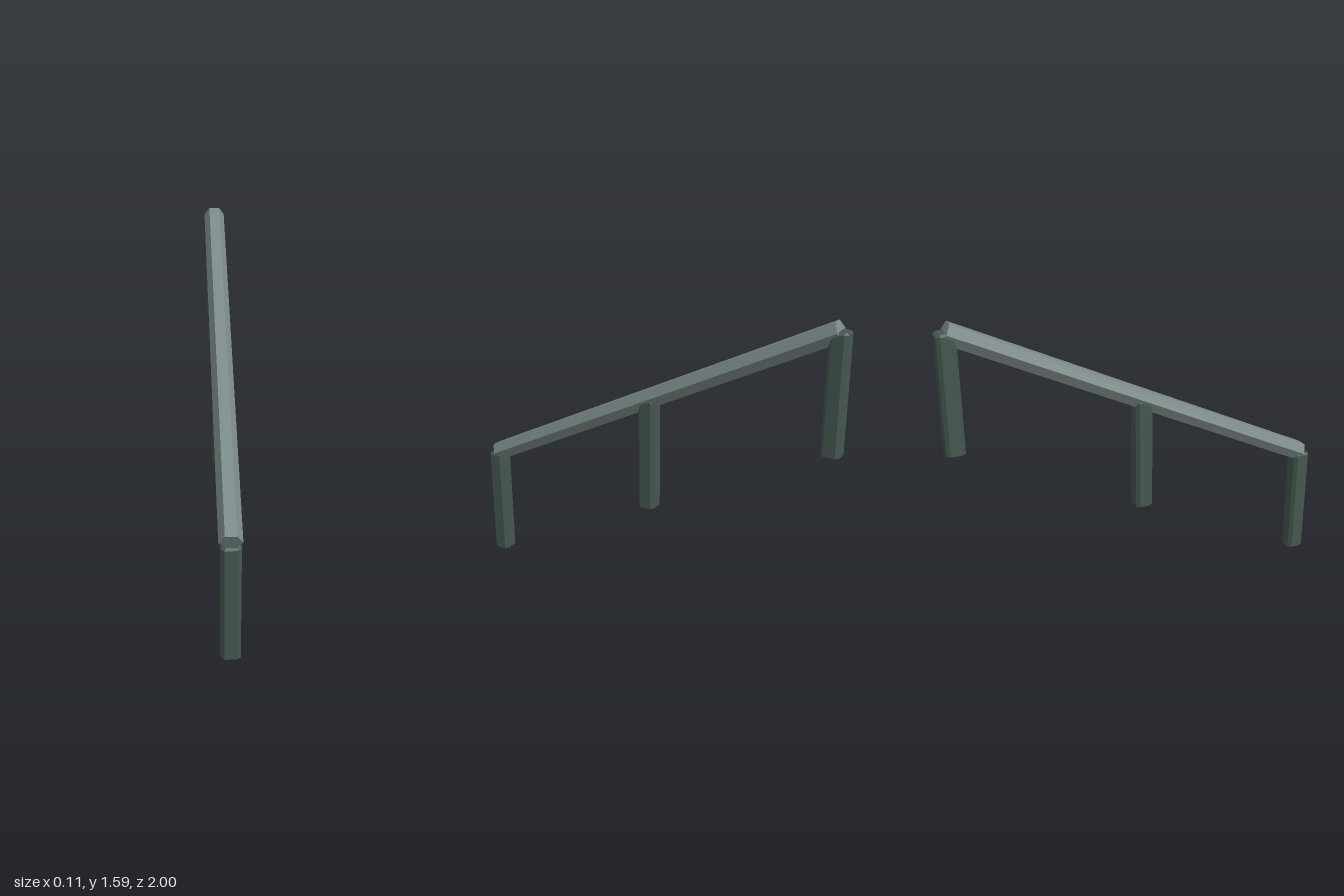
import * as THREE from 'three';

const POST_HEIGHT = 0.595, POST_HALF = 0.046, CHAMFER = 0.016, BEVEL = 0.01;
const RAIL_RADIUS = 0.054, RUN = 0.954, RAIL_LOW = 0.598, RAIL_HIGH = 1.55;

// Square post with chamfered corners and bevelled ends, standing on y = 0
function postGeometry() {
  const h = POST_HALF - BEVEL, c = h - CHAMFER + 0.005;
  const outline = [[h, -c], [h, c], [c, h], [-c, h], [-h, c], [-h, -c], [-c, -h], [c, -h]];
  const shape = new THREE.Shape(outline.map(([x, y]) => new THREE.Vector2(x, y)));
  return new THREE.ExtrudeGeometry(shape, {
    depth: POST_HEIGHT - 2 * BEVEL,
    bevelEnabled: true, bevelSegments: 1, bevelSize: BEVEL, bevelThickness: BEVEL,
  }).translate(0, 0, BEVEL).rotateX(-Math.PI / 2);
}

export function createModel() {
  const model = new THREE.Group();
  model.name = 'slopedHandrail';
  const postMaterial = new THREE.MeshStandardMaterial({ color: 0x45574f, flatShading: true });
  const railMaterial = new THREE.MeshStandardMaterial({ color: 0x7a8988, flatShading: true });

  // Three posts stepping up towards the back
  const geometry = postGeometry();
  ['frontPost', 'middlePost', 'backPost'].forEach((name, i) => {
    const post = new THREE.Mesh(geometry, postMaterial);
    post.name = name;
    post.position.set(0, i * 0.478, RUN * (1 - i));
    model.add(post);
  });

  // Hexagonal rail, flat side up, with its side edges on the slope line
  const rise = RAIL_HIGH - RAIL_LOW;
  const length = Math.hypot(2 * RUN, rise);
  const railGeometry = new THREE.CylinderGeometry(RAIL_RADIUS, RAIL_RADIUS, length, 6)
    .rotateY(Math.PI / 2)
    .rotateX(-Math.PI / 2 + Math.atan2(rise, 2 * RUN));
  const rail = new THREE.Mesh(railGeometry, railMaterial);
  rail.name = 'rail';
  rail.position.y = (RAIL_LOW + RAIL_HIGH) / 2;
  model.add(rail);

  return model;
}
